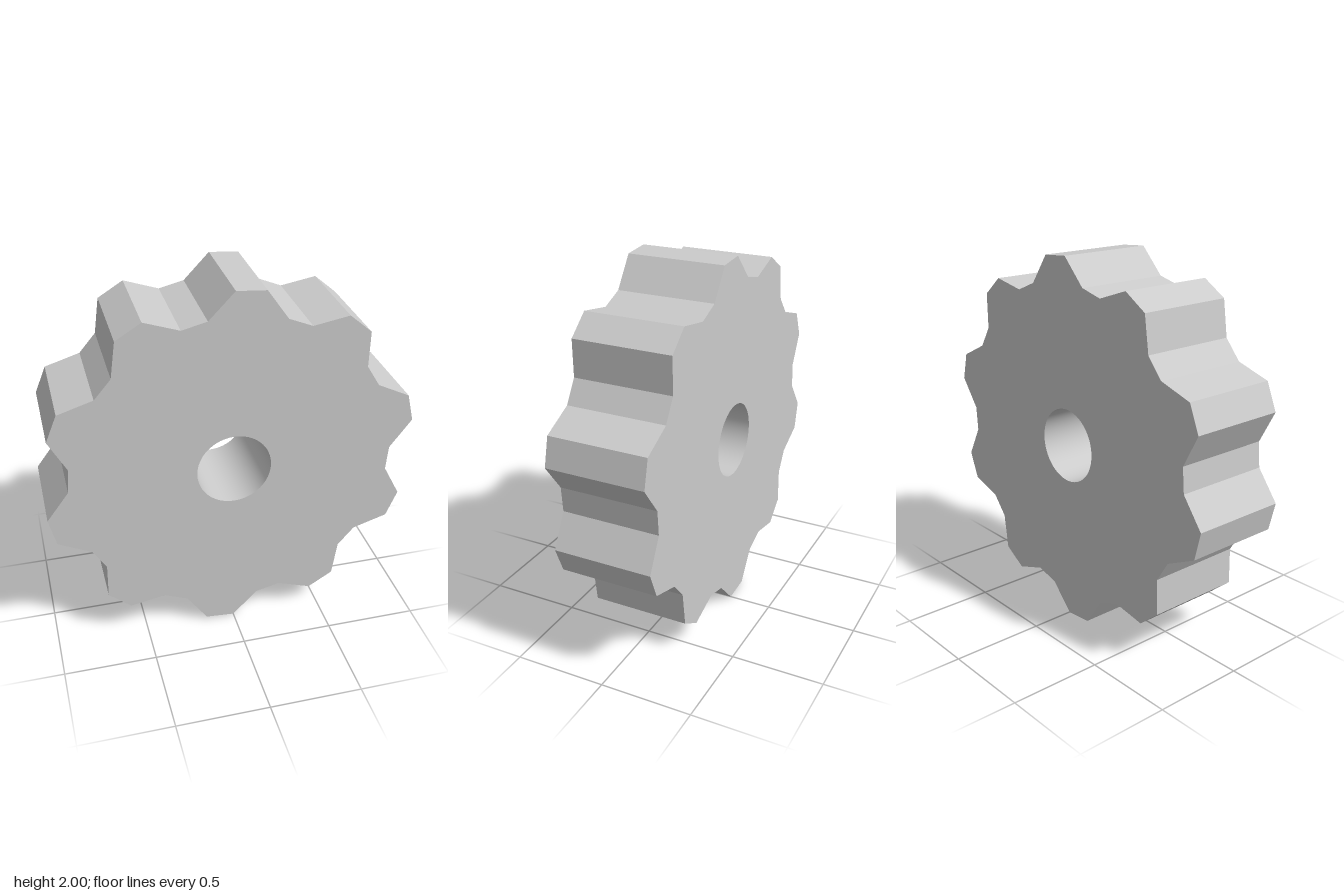
import * as THREE from 'three';
import { toCreasedNormals } from 'three/addons/utils/BufferGeometryUtils.js';

const TEETH = 10, TIP = 1, ROOT = 0.87, BORE = 0.2, DEPTH = 0.53;

export function createModel() {
  const group = new THREE.Group();
  group.name = 'gear';

  // Outline: each tooth has two tip corners and two root corners, evenly spaced
  const points = [];
  const corners = TEETH * 4;
  for (let i = 0; i < corners; i++) {
    const angle = Math.PI / 2 - (i / corners) * Math.PI * 2;
    const radius = i % 4 < 2 ? TIP : ROOT;
    points.push(new THREE.Vector2(Math.cos(angle) * radius, Math.sin(angle) * radius));
  }
  const outline = new THREE.Shape(points);

  // Round bore through the middle
  const bore = new THREE.Path();
  bore.absarc(0, 0, BORE, 0, Math.PI * 2, false);
  outline.holes.push(bore);

  // Sharp teeth, smooth bore wall
  const extruded = new THREE.ExtrudeGeometry(outline, {
    depth: DEPTH, bevelEnabled: false, curveSegments: 32,
  });
  extruded.translate(0, 1, -DEPTH / 2);
  const geometry = toCreasedNormals(extruded, Math.PI / 9);

  const wheel = new THREE.Mesh(geometry, new THREE.MeshStandardMaterial({ color: 0xcccccc }));
  wheel.name = 'toothedWheel';
  group.add(wheel);
  return group;
}
